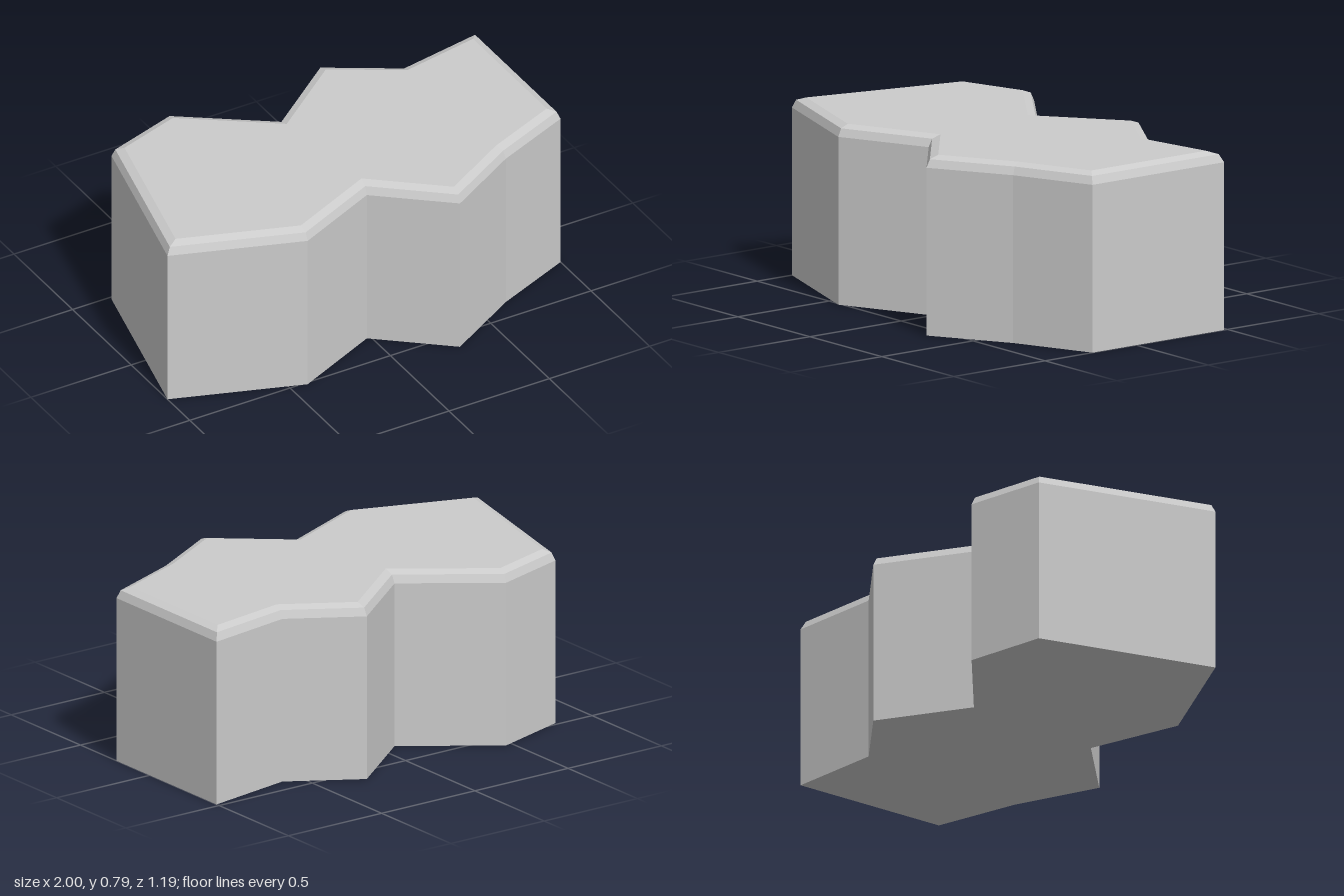
import * as THREE from 'three';

// Footprint corners (x, z), running clockwise as seen from above
const OUTLINE = [
  [-1, 0.31], [-0.815, -0.485], [-0.467, -0.597], [-0.077, -0.317], [0.28, -0.597], [0.592, -0.407],
  [1, -0.482], [1, 0.24], [0.64, 0.39], [0.293, 0.592], [-0.02, 0.333], [-0.42, 0.513],
].map(([x, z]) => new THREE.Vector2(x, z));
const HEIGHT = 0.79;
const BEVEL = 0.05;

// Moves every edge inward by d and mitres the corners
function inset(points, d) {
  const n = points.length;
  const inward = points.map((p, i) => {
    const e = points[(i + 1) % n].clone().sub(p).normalize();
    return new THREE.Vector2(-e.y, e.x);
  });
  return points.map((p, i) => {
    const a = inward[(i + n - 1) % n], b = inward[i];
    return p.clone().addScaledVector(a.clone().add(b), d / (1 + a.dot(b)));
  });
}

// Flat strip of faces between a lower and an upper ring
function band(low, yLow, high, yHigh) {
  const pos = [];
  low.forEach((a, i) => {
    const j = (i + 1) % low.length, b = low[j], c = high[i], d = high[j];
    pos.push(b.x, yLow, b.y, a.x, yLow, a.y, c.x, yHigh, c.y);
    pos.push(b.x, yLow, b.y, c.x, yHigh, c.y, d.x, yHigh, d.y);
  });
  const geo = new THREE.BufferGeometry();
  geo.setAttribute('position', new THREE.Float32BufferAttribute(pos, 3));
  geo.computeVertexNormals();
  return geo;
}

// Flat cap facing up (1) or down (-1)
function cap(points, y, facing) {
  const shape = new THREE.Shape(points.map((p) => new THREE.Vector2(p.x, -facing * p.y)));
  return new THREE.ShapeGeometry(shape).rotateX(-facing * Math.PI / 2).translate(0, y, 0);
}

export function createModel() {
  const group = new THREE.Group();
  group.name = 'zigzagBlock';
  const material = new THREE.MeshStandardMaterial({ color: 0xcccccc, flatShading: true });
  const add = (name, geometry) => {
    const mesh = new THREE.Mesh(geometry, material);
    mesh.name = name;
    group.add(mesh);
  };

  // Rings of the rounded top edge: wall top, middle of the bevel, rim of the top face
  const rings = [0, 1, 2].map((k) => {
    const t = k * Math.PI / 4;
    return {
      points: inset(OUTLINE, BEVEL * (1 - Math.cos(t))),
      y: HEIGHT - BEVEL * (1 - Math.sin(t)),
    };
  });

  add('walls', band(OUTLINE, 0, OUTLINE, rings[0].y));
  add('lowerBevel', band(rings[0].points, rings[0].y, rings[1].points, rings[1].y));
  add('upperBevel', band(rings[1].points, rings[1].y, rings[2].points, rings[2].y));
  add('topFace', cap(rings[2].points, HEIGHT, 1));
  add('bottomFace', cap(OUTLINE, 0, -1));
  return group;
}
